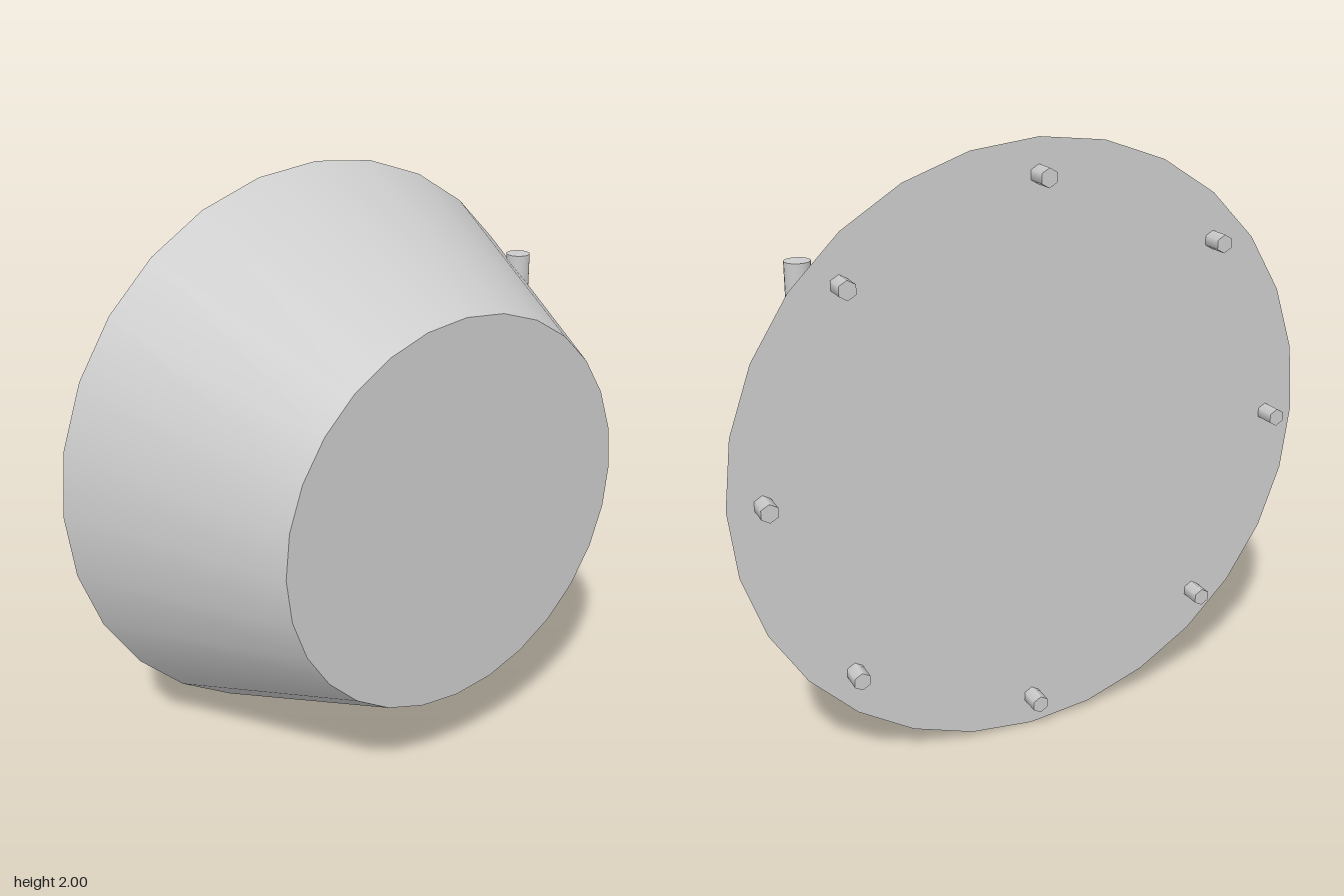
import * as THREE from 'three';

export function createModel() {
  const group = new THREE.Group();
  const material = new THREE.MeshStandardMaterial({ color: 0xcccccc });

  const add = (name, geometry, x, y, z) => {
    const mesh = new THREE.Mesh(geometry, material);
    mesh.name = name;
    mesh.position.set(x, y, z);
    group.add(mesh);
  };

  // Tapered body, wide end at the back
  const backZ = -0.352, frontZ = 0.42;
  const body = new THREE.CylinderGeometry(0.665, 1, frontZ - backZ, 28).rotateX(Math.PI / 2);
  add('body', body, 0, 1, (frontZ + backZ) / 2);

  // Ring of eight mounting studs on the back, rooted slightly in the body
  const stud = new THREE.CylinderGeometry(0.03, 0.03, 0.078, 6).rotateX(Math.PI / 2);
  for (let i = 0; i < 8; i++) {
    const a = (i * Math.PI) / 4;
    add('stud' + (i + 1), stud, 0.89 * Math.cos(a), 1 + 0.89 * Math.sin(a), -0.381);
  }

  // Upright pin on the sloping side
  add('sidePin', new THREE.CylinderGeometry(0.041, 0.041, 0.16, 20), 0.664, 1.56, -0.078);

  return group;
}
